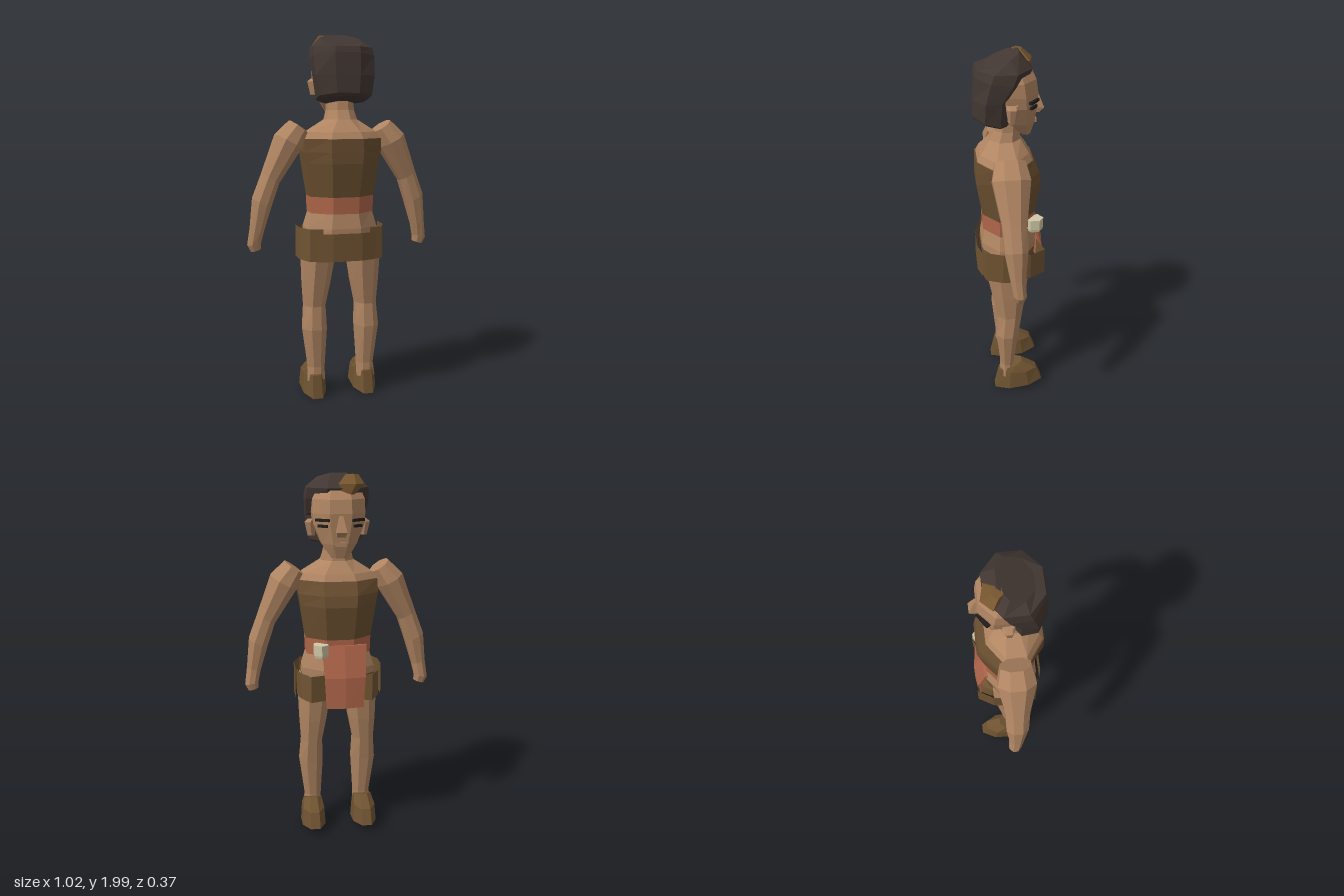
import * as THREE from 'three';

const mat = (name, color) => {
  const m = new THREE.MeshStandardMaterial({ color });
  m.name = name;
  return m;
};

// Ring: [x, y, z, half width, half depth, rise per x, rise per z]; rings run bottom to top
function loft(rings, sides = 8) {
  const k = 1 / Math.cos(Math.PI / sides);
  const loops = rings.map(([x, y, z, a, b, sx = 0, sz = 0]) =>
    Array.from({ length: sides }, (_, j) => {
      const t = ((j + 0.5) / sides) * Math.PI * 2;
      const dx = Math.cos(t) * a * k, dz = Math.sin(t) * b * k;
      return [x + dx, y + dx * sx + dz * sz, z + dz];
    }));
  const pos = [];
  const tri = (...p) => p.forEach((v) => pos.push(...v));
  const last = loops.length - 1;
  for (let j = 0; j < sides; j++) {
    const n = (j + 1) % sides;
    for (let i = 0; i < last; i++) {
      const lo = loops[i], hi = loops[i + 1];
      tri(lo[j], hi[j], lo[n]);
      tri(lo[n], hi[j], hi[n]);
    }
    tri(rings[0].slice(0, 3), loops[0][j], loops[0][n]);
    tri(rings[last].slice(0, 3), loops[last][n], loops[last][j]);
  }
  return fromPositions(pos);
}

function fromPositions(pos) {
  const g = new THREE.BufferGeometry();
  g.setAttribute('position', new THREE.Float32BufferAttribute(pos, 3));
  g.computeVertexNormals();
  return g;
}

// Upright cloth strip following [x, z] points
function strip(points, y0, y1) {
  const pos = [];
  for (let i = 0; i < points.length - 1; i++) {
    const [ax, az] = points[i], [bx, bz] = points[i + 1];
    pos.push(ax, y0, az, bx, y0, bz, bx, y1, bz, ax, y0, az, bx, y1, bz, ax, y1, az);
  }
  return fromPositions(pos);
}

export function createModel() {
  const skin = mat('skin', 0xb08562);
  const leather = mat('brown leather', 0x6b4f30);
  const hide = mat('skirt hide', 0x6f5331);
  hide.side = THREE.DoubleSide;
  const sash = mat('red sash', 0xb0664a);
  const hairMat = mat('dark hair', 0x423732);
  const black = mat('eye black', 0x1f1c1b);
  const bone = mat('bone', 0xd0c8a6);
  const tie = mat('hair tie brown', 0x76562f);

  const model = new THREE.Group();
  const add = (name, geometry, material, x = 0, y = 0, z = 0) => {
    const m = new THREE.Mesh(geometry, material);
    m.name = name;
    m.position.set(x, y, z);
    model.add(m);
    return m;
  };

  // Torso in stacked bands
  add('waist', loft([[0, 0.9, 0.01, 0.2, 0.14], [0, 0.97, 0.005, 0.195, 0.145], [0, 1.06, 0.005, 0.168, 0.13]]), skin);
  add('sash', loft([[0, 1.05, 0.005, 0.173, 0.137], [0, 1.145, 0.005, 0.176, 0.14]]), sash);
  add('vest', loft([[0, 1.14, 0.005, 0.176, 0.14], [0, 1.32, 0.005, 0.202, 0.17],
    [0, 1.38, 0.01, 0.213, 0.165], [0, 1.45, 0.025, 0.212, 0.148]]), leather);
  add('shouldersAndNeck', loft([[0, 1.44, 0.025, 0.21, 0.146], [0, 1.485, 0.025, 0.185, 0.125], [0, 1.55, 0.02, 0.085, 0.08],
    [0, 1.6, 0.01, 0.072, 0.065], [0, 1.7, 0, 0.07, 0.06]]), skin);

  // Skirt with overlapping panels
  add('skirtLining', loft([[0, 0.82, 0.01, 0.195, 0.13], [0, 0.93, 0.01, 0.2, 0.145]]), hide);
  add('skirtBack', strip([[-0.16, 0.155], [-0.08, 0.178], [0.08, 0.178], [0.16, 0.155]], 0.8, 0.95), hide);
  for (const s of [1, -1]) {
    const side = [[0.13, 0.155], [0.2, 0.14], [0.237, 0.05], [0.237, -0.05]];
    const front = [[0.228, -0.02], [0.213, -0.1], [0.165, -0.182], [0.05, -0.15]];
    add('skirtSide', strip(side.map(([x, z]) => [s * x, z]), 0.8, 0.975), hide);
    add('skirtFront', strip(front.map(([x, z]) => [s * x, z]), 0.81, 0.955), hide);
  }

  // Hanging front apron, bent outward at the hips
  const apron = new THREE.BoxGeometry(0.22, 0.34, 0.014, 2, 2, 1).toNonIndexed();
  const p = apron.attributes.position;
  for (let i = 0; i < p.count; i++) {
    const x = p.getX(i), y = p.getY(i);
    p.setZ(i, p.getZ(i) + Math.max(0, y) * 0.25 + Math.abs(x) * 0.12);
    p.setX(i, x * (1 + y * 0.5));
  }
  apron.computeVertexNormals();
  add('apron', apron, sash, -0.02, 0.94, -0.181);
  add('toggle', loft([[0.105, 1.05, -0.13, 0.034, 0.038], [0.105, 1.065, -0.13, 0.037, 0.042],
    [0.105, 1.12, -0.13, 0.037, 0.042]], 6), bone);

  // Limbs, mirrored
  for (const s of [1, -1]) {
    const mirror = (rings) => rings.map(([x, y, z, a, b, sx = 0, sz = 0]) => [s * x, y, z, a, b, s * sx, sz]);
    add('arm', loft(mirror([
      [0.465, 0.85, -0.01, 0.027, 0.025, -0.3], [0.474, 0.885, -0.01, 0.036, 0.033, -0.2],
      [0.46, 0.965, 0, 0.036, 0.038, 0.3], [0.432, 1.11, 0.005, 0.048, 0.058, 0.5],
      [0.385, 1.24, 0.01, 0.044, 0.062, 0.6], [0.287, 1.435, 0.015, 0.066, 0.095, 0.55],
      [0.23, 1.512, 0.015, 0.046, 0.075, 0.7]])), skin);
    add('leg', loft(mirror([
      [0.145, 0.1, 0.025, 0.05, 0.04], [0.142, 0.18, 0.024, 0.046, 0.037],
      [0.15, 0.4, 0.022, 0.066, 0.062], [0.147, 0.53, 0.008, 0.058, 0.067],
      [0.138, 0.66, 0.012, 0.074, 0.09], [0.128, 0.82, 0.02, 0.088, 0.115], [0.115, 0.92, 0.02, 0.09, 0.115]])), skin);
    add('shoe', loft(mirror([
      [0.147, 0.03, -0.043, 0.066, 0.138, 0, -0.15], [0.147, 0.135, -0.04, 0.06, 0.108],
      [0.145, 0.17, -0.005, 0.048, 0.058, 0, -0.35]])), hide);

    // Ears, eyes and brows
    add('ear', loft(mirror([[0.138, 1.68, -0.005, 0.018, 0.018], [0.145, 1.75, -0.008, 0.026, 0.027],
      [0.135, 1.765, -0.008, 0.018, 0.025]]), 6), skin);
    for (const [name, y, w, d] of [['brow', 1.768, 0.08, 0.03], ['eye', 1.738, 0.055, 0.02]]) {
      add(name, new THREE.BoxGeometry(w, 0.014, d), black, s * 0.088, y, -0.115).rotation.y = -s * 0.62;
    }
  }

  // Head, tapering to the chin
  add('head', loft([
    [0, 1.575, -0.082, 0.045, 0.03, 0, 0.15], [0, 1.645, -0.05, 0.092, 0.082], [0, 1.74, -0.035, 0.13, 0.105],
    [0, 1.8, -0.025, 0.137, 0.12], [0, 1.87, -0.015, 0.135, 0.12], [0, 1.93, 0, 0.11, 0.1]]), skin);
  add('nose', loft([[0, 1.685, -0.135, 0.022, 0.02], [0, 1.71, -0.15, 0.026, 0.031],
    [0, 1.79, -0.135, 0.01, 0.014]], 4), skin);
  add('lips', new THREE.BoxGeometry(0.055, 0.02, 0.03), skin, 0, 1.645, -0.127);

  // Swept-back hair with a small tie on top
  add('hair', loft([
    [0, 1.65, 0.085, 0.12, 0.085, 0, 0.25], [0, 1.665, 0.09, 0.143, 0.093, 0, 0.25],
    [0, 1.78, 0.085, 0.16, 0.095], [0, 1.875, 0.045, 0.165, 0.128, 0, 0.15],
    [0, 1.925, 0.025, 0.158, 0.138], [0, 1.965, 0.035, 0.105, 0.085, 0, -0.4]]), hairMat);
  add('hairTie', loft([[-0.04, 1.885, -0.105, 0.02, 0.012], [-0.055, 1.945, -0.075, 0.062, 0.045],
    [-0.065, 1.992, -0.05, 0.03, 0.022]], 5), tie);

  return model;
}
